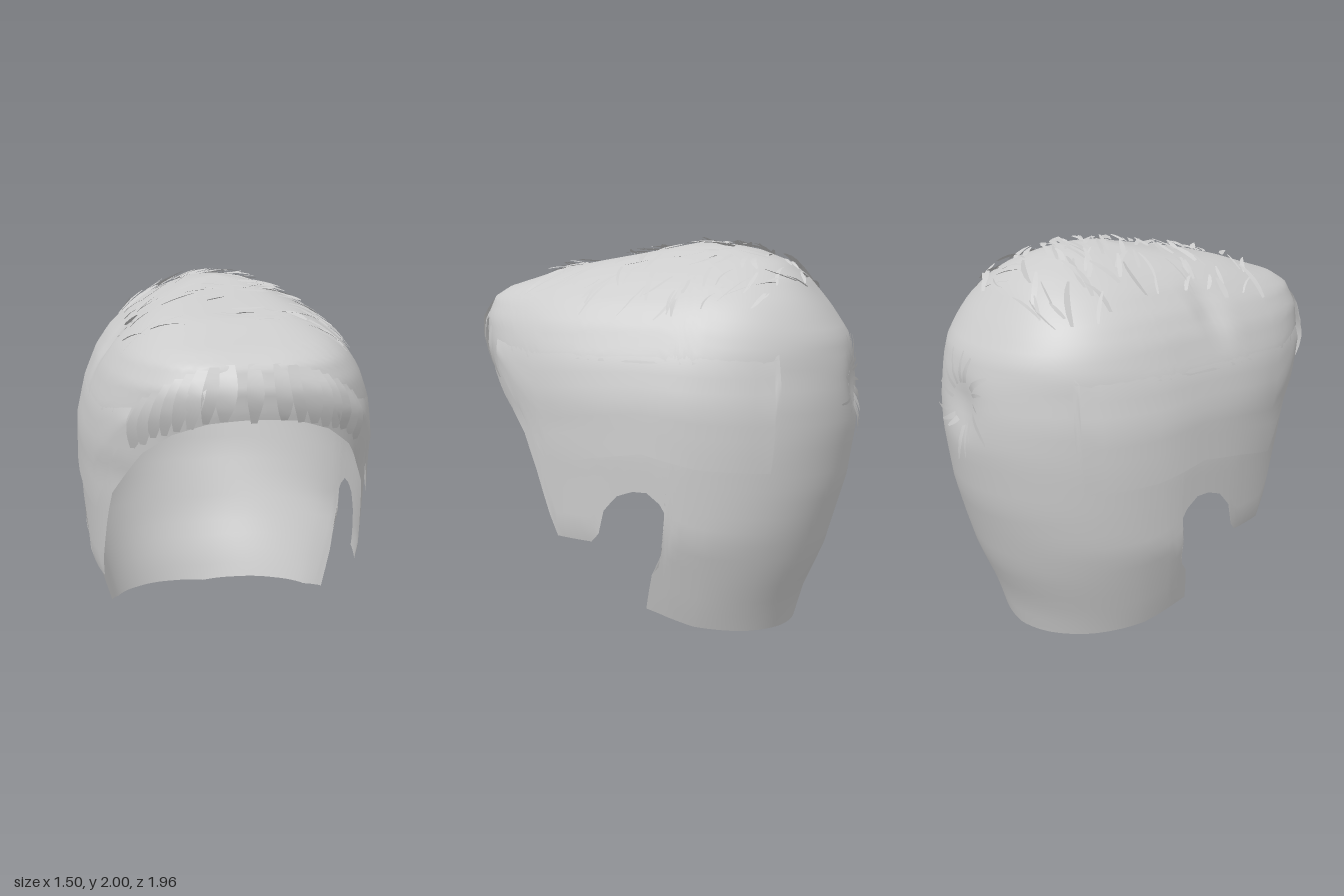
import * as THREE from 'three';

// Horizontal sections are superellipses: squarer in front, rounder behind
const ZC = -0.12, TOP = 1.975;
const rad = Math.PI / 180;

// Profiles as [height, value], from the crown downwards
const WIDTH = [[1.975, 0], [1.96, 0.12], [1.93, 0.21], [1.9, 0.285], [1.85, 0.385], [1.8, 0.46], [1.7, 0.565], [1.6, 0.635],
  [1.45, 0.7], [1.25, 0.735], [1, 0.74], [0.8, 0.73], [0.6, 0.72], [0.4, 0.66], [0.2, 0.6], [0, 0.53]];
const FRONT = [[1.975, ZC], [1.95, 0], [1.92, 0.16], [1.885, 0.36], [1.845, 0.57], [1.79, 0.74], [1.75, 0.87], [1.7, 0.95],
  [1.6, 0.985], [1.5, 0.975], [1.4, 0.95], [1.2, 0.93], [0.9, 0.9], [0, 0.9]];
const BACK = [[1.975, ZC], [1.965, -0.3], [1.94, -0.43], [1.88, -0.58], [1.8, -0.675], [1.66, -0.79], [1.53, -0.88],
  [1.4, -0.922], [1.25, -0.94], [1.1, -0.943], [0.8, -0.9], [0.42, -0.795], [0.17, -0.69], [0, -0.645]];
const POWER_FRONT = [[1.975, 3.2], [1.75, 3.2], [1.4, 3], [1.15, 2.6], [0, 2.6]];
const POWER_BACK = [[1.975, 2.5], [1.72, 2.5], [1.4, 2.05], [1.1, 2], [0, 2]];

function look(table, y) {
  for (let i = 1; i < table.length; i++) {
    const [y0, a] = table[i - 1], [y1, b] = table[i];
    if (y >= y1) return a + (b - a) * Math.min(1, Math.max(0, (y0 - y) / (y0 - y1)));
  }
  return table[table.length - 1][1];
}
const depth = (y, front) => (front ? look(FRONT, y) - ZC : ZC - look(BACK, y));
const power = (y, front) => look(front ? POWER_FRONT : POWER_BACK, y);

// Point of the hair surface at an angle (0 = front, 90 = left) and a height
function surface(deg, y, out = 0) {
  const s = Math.sin(deg * rad), c = Math.cos(deg * rad), front = c > 0, e = 2 / power(y, front);
  let x = Math.sign(s) * Math.abs(s) ** e * (look(WIDTH, y) + out);
  let z = ZC + Math.sign(c) * Math.abs(c) ** e * (depth(y, front) + out);
  // dimple of the whorl at the back
  if (!front) z += 0.035 * Math.exp(-(x * x + (y - 1.28) ** 2) / 0.015);
  // groove behind the swept fringe on the right
  if (x < -0.3) x += 0.035 * Math.exp(-((z - 0.12) ** 2) / 0.006 - (y - 1.68) ** 2 / 0.012);
  return new THREE.Vector3(x, y, z);
}
function angleOf(x, z, y) {
  const dz = z - ZC, h = power(y, dz > 0) / 2;
  return Math.atan2((x / look(WIDTH, y)) ** h, Math.sign(dz) * (Math.abs(dz) / depth(y, dz > 0)) ** h) / rad;
}
// Height of the crown above a point of the plan
function crownY(x, z) {
  let lo = 0.9, hi = TOP - 0.0005;
  const front = z > ZC;
  for (let i = 0; i < 24; i++) {
    const y = (lo + hi) / 2, n = power(y, front);
    const f = (Math.abs(x) / look(WIDTH, y)) ** n + (Math.abs(z - ZC) / depth(y, front)) ** n;
    if (f < 1) lo = y; else hi = y;
  }
  return lo;
}

// Smooth surface from columns of points, each running downwards
function loft(columns, closed) {
  const rows = columns[0].length, n = columns.length, index = [];
  for (let i = 0; i < (closed ? n : n - 1); i++) {
    for (let j = 0; j < rows - 1; j++) {
      const a = i * rows + j, b = ((i + 1) % n) * rows + j;
      index.push(a, a + 1, b + 1, a, b + 1, b);
    }
  }
  const g = new THREE.BufferGeometry().setFromPoints(columns.flat());
  g.setIndex(index);
  g.computeVertexNormals();
  return g;
}

// Tapered ribbons, each given by its centre line and side direction
function ribbons(list) {
  const pts = [], index = [];
  for (const { line, side, width } of list) {
    const base = pts.length, last = line.length - 1;
    line.forEach((p, i) => {
      const h = width * (0.25 + 0.75 * Math.sin(Math.PI * (0.15 + 0.8 * i / last))) / 2;
      pts.push(p.clone().addScaledVector(side, -h), p.clone().addScaledVector(side, h));
      if (i < last) {
        const k = base + i * 2;
        index.push(k, k + 2, k + 3, k, k + 3, k + 1);
      }
    });
  }
  const g = new THREE.BufferGeometry().setFromPoints(pts);
  g.setIndex(index);
  g.computeVertexNormals();
  return g;
}

function shellGeometry() {
  // hairline as [x, z, y, angle at the crown]: fringe, sideburn, ear notch, nape
  const edge = [[0, 0.97, 1.47, 0], [0.2, 0.96, 1.455, 11], [0.36, 0.93, 1.4, 21], [0.48, 0.83, 1.3, 34], [0.55, 0.7, 1.16, 46],
    [0.595, 0.6, 1.05, 52], [0.625, 0.53, 0.87, 57], [0.655, 0.43, 0.55, 65], [0.69, 0.23, 0.55, 76], [0.7, 0.18, 0.6, 78.5],
    [0.71, 0.15, 0.72, 81], [0.72, 0.08, 0.8, 84], [0.73, 0, 0.83, 87], [0.73, -0.07, 0.83, 90],
    [0.72, -0.16, 0.73, 94], [0.69, -0.13, 0.5, 96], [0.66, -0.07, 0.4, 98], [0.6, -0.02, 0.2, 101],
    [0.59, -0.13, 0.16, 104], [0.56, -0.25, 0.115, 110], [0.42, -0.47, 0.065, 131], [0.2, -0.6, 0.025, 158], [0, -0.65, 0, 180]];
  const ends = edge.map(([x, z, y, v]) => [angleOf(x, z, y), y, v]);
  const half = [];
  for (let i = 0; i < ends.length - 1; i++) {
    const steps = Math.max(2, Math.ceil((ends[i + 1][2] - ends[i][2]) / 3));
    for (let k = 0; k < steps; k++) half.push(ends[i].map((e, m) => e + (ends[i + 1][m] - e) * k / steps));
  }
  half.push(ends[ends.length - 1]);
  const mirrored = half.slice(1, -1).reverse().map(([u, y, v]) => [-u, y, -v]);
  const rows = 44;
  return loft([...half, ...mirrored].map(([u, y, v]) => Array.from({ length: rows + 1 }, (_, j) => {
    const t = j / rows;
    return surface(v + (u - v) * t ** 6, TOP - (TOP - y) * t * t);
  })), true);
}

// Overlapping layer above the ear
function sideLayerGeometry(side) {
  const lower = [[0.76, 1.36], [0.66, 1.23], [0.45, 0.92], [0.2, 0.98], [-0.05, 1.02], [-0.3, 0.96], [-0.62, 0.93], [-0.66, 1.18]];
  const columns = [];
  for (let i = 0; i < lower.length - 1; i++) {
    for (let k = 0; k < 4 + (i === lower.length - 2 ? 1 : 0); k++) {
      const z = lower[i][0] + (lower[i + 1][0] - lower[i][0]) * k / 4;
      const y = lower[i][1] + (lower[i + 1][1] - lower[i][1]) * k / 4;
      const dz = z - ZC, r = Math.min(1, (Math.abs(dz) / depth(y, dz > 0)) ** (power(y, dz > 0) / 2));
      const a = Math.acos(Math.sign(dz) * r) / rad;
      columns.push(Array.from({ length: 9 }, (_, j) =>
        surface(side * a, 1.52 + (y - 1.52) * j / 8, -0.004 + 0.016 * Math.min(1, j / 4))));
    }
  }
  return loft(side > 0 ? columns : columns.reverse(), false);
}

export function createModel() {
  let seed = 7;
  const rnd = (a = 0, b = 1) => {
    seed = (seed * 16807) % 2147483647;
    return a + (b - a) * seed / 2147483647;
  };
  const hair = new THREE.MeshStandardMaterial({ color: 0xcccccc, side: THREE.DoubleSide });
  hair.name = 'hair grey';
  const model = new THREE.Group();
  model.name = 'hair';
  const add = (name, geometry) => {
    const mesh = new THREE.Mesh(geometry, hair);
    mesh.name = name;
    model.add(mesh);
  };

  add('hairShell', shellGeometry());
  add('leftSideLayer', sideLayerGeometry(1));
  add('rightSideLayer', sideLayerGeometry(-1));

  // loose strands swept across the crown
  const strands = [];
  for (let i = 0; i < 170; i++) {
    let x = rnd(-0.54, 0.54), z = rnd(-0.72, 0.62);
    const heading = (x > 0 ? rnd(0, 0.8) : rnd(-0.3, 1)), bend = rnd(-0.8, 0.8), len = rnd(0.08, 0.2);
    const lift = rnd(0.005, 0.03), line = [];
    for (let k = 0; k <= 4; k++) {
      line.push(new THREE.Vector3(x, Math.min(2, crownY(x, z) + 0.006 + lift * k / 4), z));
      const h = heading + bend * k / 4;
      x += Math.cos(h) * len / 4;
      z += Math.sin(h) * len / 4;
    }
    const side = new THREE.Vector3(Math.sin(heading), rnd(-0.3, 0.3), -Math.cos(heading));
    const width = rnd(0.012, 0.034);
    // keep only strands that stay on the crown
    if (line.every(p => p.y > 1.6)) strands.push({ line, side, width });
  }
  add('crownStrands', ribbons(strands));

  // strands fanning out of the whorl
  const whorl = [];
  for (let i = 0; i < 15; i++) {
    const th = i * 24 * rad + rnd(-0.15, 0.15), r1 = rnd(0.14, 0.28), line = [];
    for (let k = 0; k <= 4; k++) {
      const r = 0.05 + (r1 - 0.05) * k / 4, t = th + 0.25 * k / 4;
      const x = r * Math.cos(t), y = 1.28 + r * Math.sin(t), n = power(y, false);
      const z = ZC - depth(y, false) * (1 - (Math.abs(x) / look(WIDTH, y)) ** n) ** (1 / n);
      line.push(new THREE.Vector3(x, y, z + 0.05 * Math.exp(-r * r / 0.015) - 0.004 - 0.015 * k / 4));
    }
    whorl.push({ line, side: new THREE.Vector3(Math.sin(th), -Math.cos(th), 0), width: rnd(0.02, 0.035) });
  }
  add('whorlStrands', ribbons(whorl));

  // locks curling down over the fringe
  const fringe = [];
  for (let i = 0; i < 17; i++) {
    const a = -34 + i * 68 / 16, drop = 0.15 * (Math.abs(a) / 34) ** 2, line = [];
    for (let k = 0; k <= 6; k++) {
      const t = k / 6;
      line.push(surface(a + a * 0.1 * t, 1.71 - drop + (-0.25 + rnd(-0.01, 0.01)) * t, 0.002 + 0.014 * Math.sin(Math.PI * t)));
    }
    const side = new THREE.Vector3(Math.cos(a * rad), 0, -Math.sin(a * rad) + rnd(-0.15, 0.15));
    fringe.push({ line, side, width: rnd(0.07, 0.095) });
  }
  add('fringeLocks', ribbons(fringe));
  return model;
}
